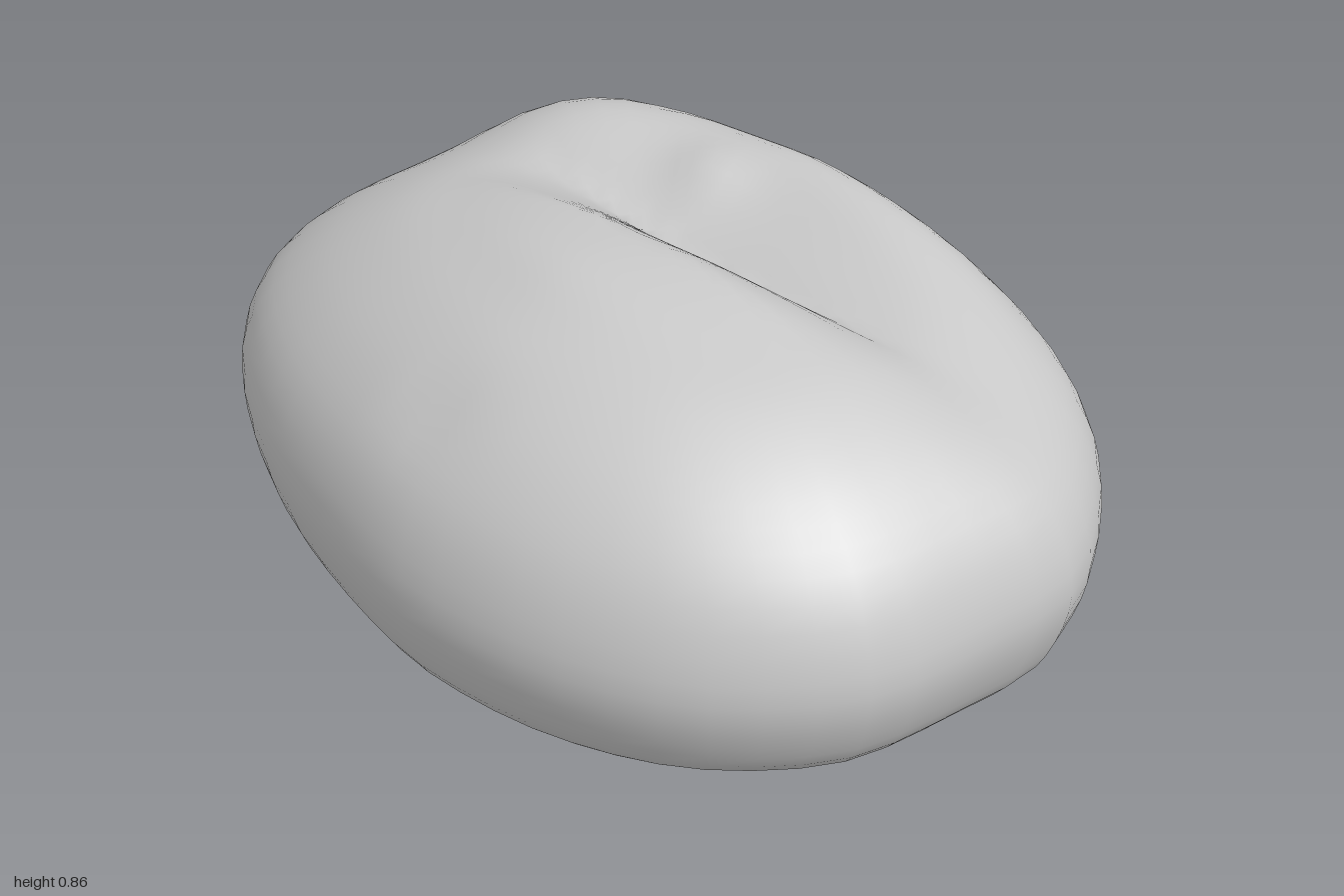
import * as THREE from 'three';

const SEGMENTS = 56;
const RINGS = 52;

// plan outline (x, z) at the widest height
const OUTLINE = [
  [0.99, 0], [0.95, 0.28], [0.87, 0.42], [0.71, 0.58], [0.45, 0.71], [0.18, 0.765],
  [-0.02, 0.765], [-0.54, 0.65], [-0.83, 0.48], [-0.95, 0.31], [-1, 0.04], [-0.95, -0.29],
  [-0.8, -0.5], [-0.67, -0.61], [-0.52, -0.7], [-0.2, -0.77], [-0.05, -0.78],
  [0.45, -0.71], [0.76, -0.55], [0.95, -0.32], [1, -0.19],
];

// cross-section from top centre to bottom centre (fraction of outline, height)
const PROFILE = [
  [0, 0.86], [0.15, 0.857], [0.3, 0.838], [0.45, 0.805], [0.62, 0.755], [0.82, 0.645],
  [0.95, 0.52], [1, 0.38], [0.97, 0.22], [0.91, 0.11], [0.77, 0.03], [0.6, 0.02], [0.3, 0.02], [0, 0.02],
];

const { smoothstep } = THREE.MathUtils;
const gauss = (d, w) => Math.exp(-(d * d) / (w * w));

// fold across the top, back lobe, slight tilt and small dents
function shapeHeight(x, y, z) {
  const d = z + 0.14 + 0.1 * x;
  const groove = Math.max(0, 1 - Math.abs(d) / (d > 0 ? 0.22 : 0.34));
  let fold = -0.17 * Math.pow(groove, 1.2) * gauss(x, x < 0 ? 0.5 : 0.62);
  fold += 0.05 * gauss(x - 0.05, 0.5) * gauss(z + 0.5, 0.18);
  fold += 0.085 * gauss(x + 0.6, 0.3) * gauss(z + 0.32, 0.22);
  fold += 0.03 * gauss(x + 0.17, 0.09) * gauss(z + 0.31, 0.08);
  fold += 0.022 * gauss(x + 0.05, 0.3) * gauss(z - 0.27, 0.12);
  fold -= 0.02 * gauss(x - 0.02, 0.08) * gauss(z - 0.62, 0.08);
  const tilt = -gauss(y - 0.38, 0.22) * (0.03 * x + 0.05 * z);
  const base = 0.05 * smoothstep(-x, 0.6, 0.8) - 0.02 * gauss(x - 0.05, 0.4) * gauss(z - 0.5, 0.15);
  return y + smoothstep(y, 0.42, 0.72) * fold + tilt + (1 - smoothstep(y, 0.02, 0.2)) * base;
}

function bunGeometry() {
  const curve = (pts) => pts.map(([a, b]) => new THREE.Vector3(a, b, 0));
  const outline = new THREE.CatmullRomCurve3(curve(OUTLINE), true);
  const profile = new THREE.CatmullRomCurve3(curve(PROFILE));
  const rim = Array.from({ length: SEGMENTS }, (_, i) => outline.getPointAt(i / SEGMENTS));
  const positions = [0, shapeHeight(0, PROFILE[0][1], 0), 0];
  const index = [];
  const at = (ring, i) => 1 + (ring - 1) * SEGMENTS + (i % SEGMENTS);

  for (let r = 1; r < RINGS; r++) {
    const p = profile.getPointAt(r / RINGS);
    for (const o of rim) {
      const x = o.x * p.x, z = o.y * p.x;
      positions.push(x, shapeHeight(x, p.y, z), z);
    }
  }
  const last = positions.length / 3;
  positions.push(0, 0.02, 0);

  for (let i = 0; i < SEGMENTS; i++) {
    index.push(0, at(1, i + 1), at(1, i));
    for (let r = 1; r < RINGS - 1; r++) {
      const a = at(r, i), b = at(r, i + 1), c = at(r + 1, i), d = at(r + 1, i + 1);
      index.push(a, b, d, a, d, c);
    }
    index.push(last, at(RINGS - 1, i), at(RINGS - 1, i + 1));
  }
  const geometry = new THREE.BufferGeometry();
  geometry.setAttribute('position', new THREE.Float32BufferAttribute(positions, 3));
  geometry.setIndex(index);
  geometry.computeVertexNormals();
  return geometry;
}

export function createModel() {
  const group = new THREE.Group();
  group.name = 'foldedBun';
  const grey = new THREE.MeshStandardMaterial({ color: 0xc8c8c8 });
  grey.name = 'plain grey';
  const body = new THREE.Mesh(bunGeometry(), grey);
  body.name = 'body';
  group.add(body);
  return group;
}
